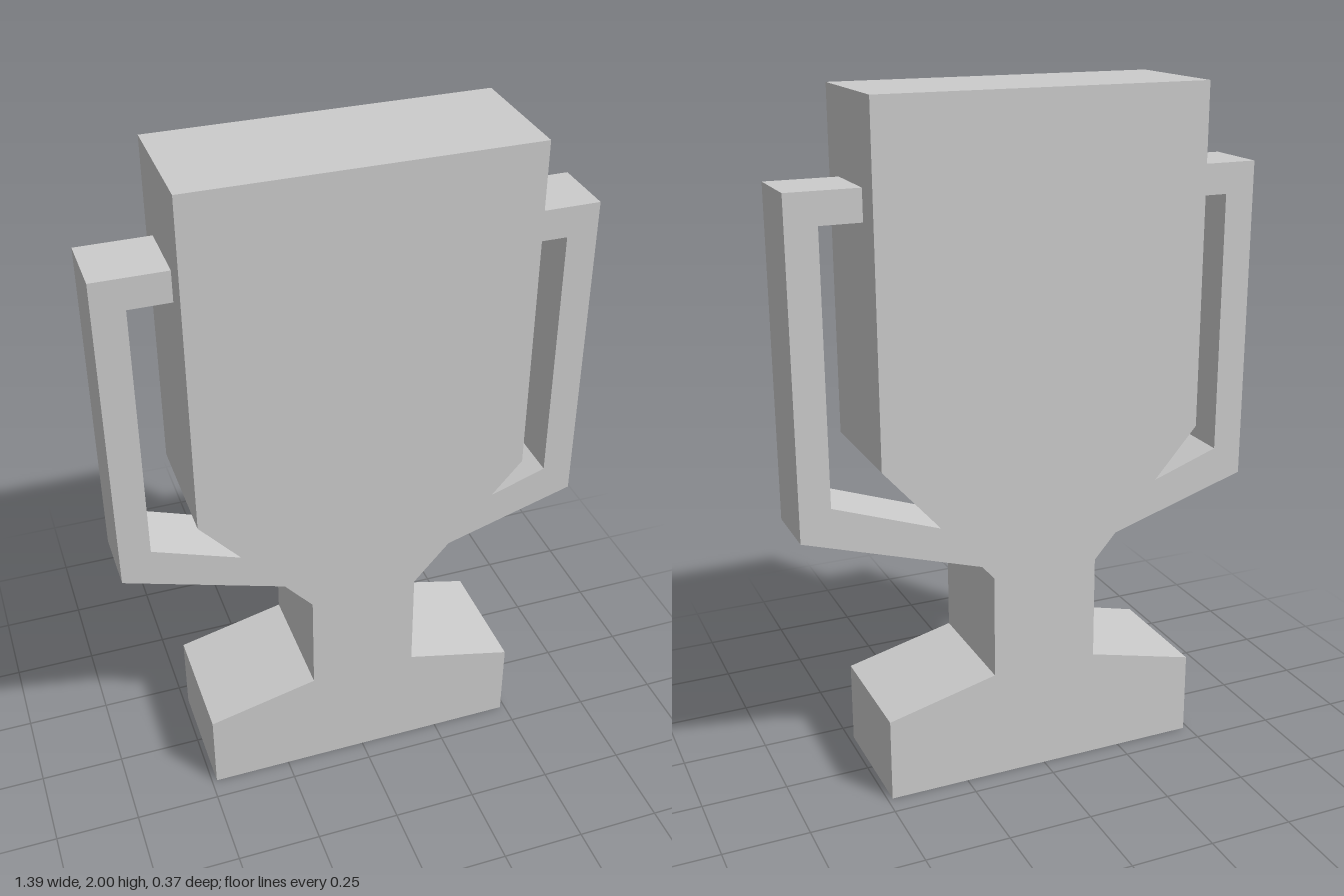
import * as THREE from 'three';

const material = new THREE.MeshStandardMaterial({ color: 0xcccccc, flatShading: true });

// Extrudes an outline in the xy plane, centred on z = 0
function slab(name, points, depth) {
  const shape = new THREE.Shape(points.map(([x, y]) => new THREE.Vector2(x, y)));
  const geometry = new THREE.ExtrudeGeometry(shape, { depth, bevelEnabled: false });
  geometry.translate(0, 0, -depth / 2);
  const mesh = new THREE.Mesh(geometry, material);
  mesh.name = name;
  return mesh;
}

const mirror = (points) => points.map(([x, y]) => [-x, y]);

export function createModel() {
  const group = new THREE.Group();
  group.name = 'trophyCup';

  // Cup, stem and base as one silhouette: right half, then its mirror
  const half = [[0.485, 0], [0.485, 0.25], [0.16, 0.33], [0.16, 0.64], [0.485, 1.01], [0.485, 2]];
  group.add(slab('cupBody', [...half, ...mirror(half).reverse()], 0.37));

  // Angular handles, their ends sunk slightly into the cup
  const handle = [
    [0.16, 0.64], [0.695, 0.805], [0.695, 1.76], [0.46, 1.76], [0.46, 1.67],
    [0.605, 1.67], [0.605, 0.895], [0.285, 0.782], [0.2, 0.752],
  ];
  group.add(slab('leftHandle', handle, 0.2));
  group.add(slab('rightHandle', mirror(handle), 0.2));

  return group;
}
